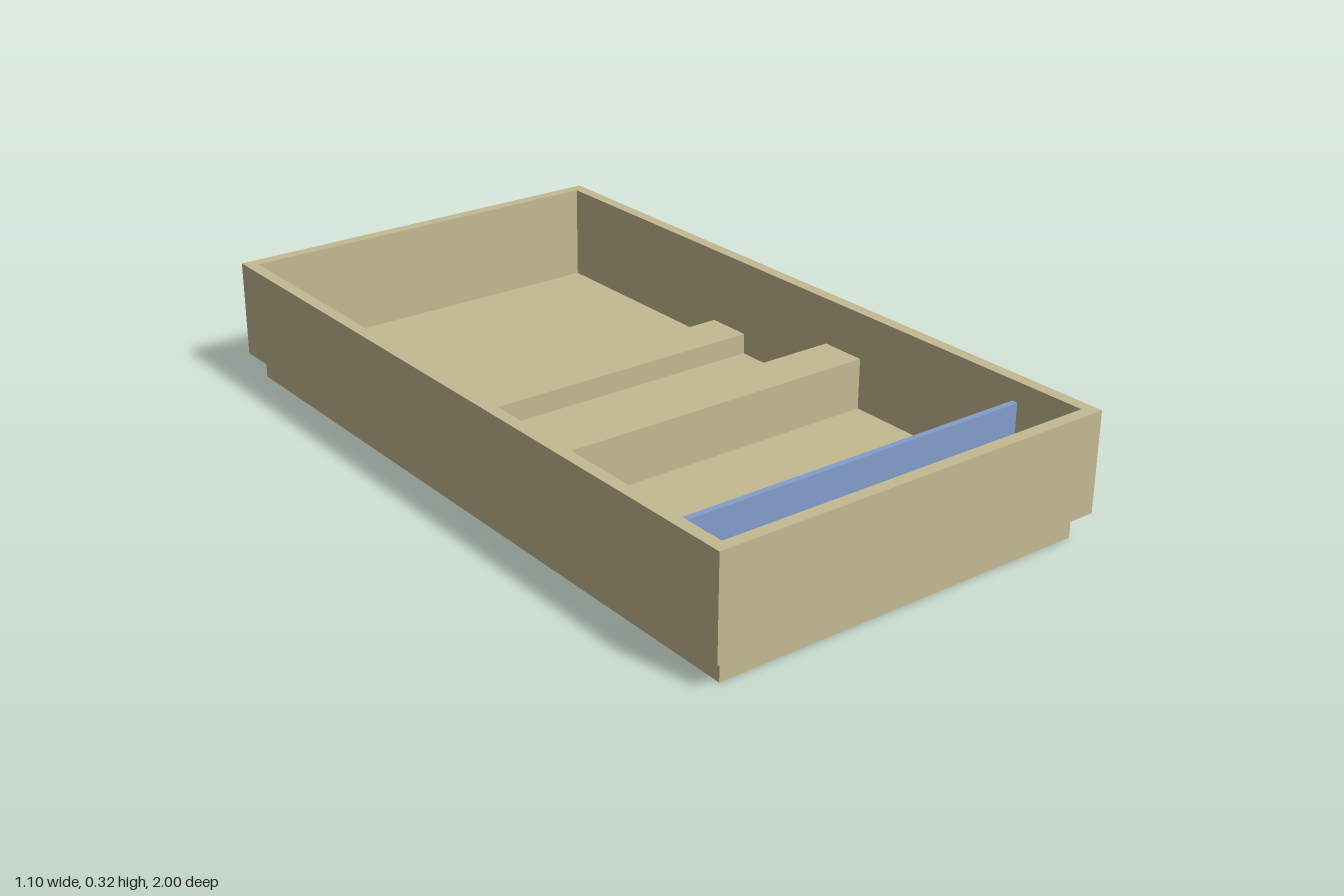
import * as THREE from 'three';

export function createModel() {
  const model = new THREE.Group();
  const tan = new THREE.MeshStandardMaterial({ color: 0xc4ba92 });
  tan.name = 'tan';
  const blue = new THREE.MeshStandardMaterial({ color: 0x839dcc });
  blue.name = 'blue';

  const W = 0.548, L = 1;           // outer half sizes
  const w = 0.516, l = 0.968;       // inner half sizes
  const floorY = 0.066, rimY = 0.323;

  // Box spanning the inner width, between two heights and two depths
  function slab(name, y0, y1, z0, z1, material) {
    const mesh = new THREE.Mesh(new THREE.BoxGeometry(2 * w, y1 - y0, z1 - z0), material);
    mesh.position.set(0, (y0 + y1) / 2, (z0 + z1) / 2);
    mesh.name = name;
    model.add(mesh);
  }

  // Rectangle outline for the rim and its opening
  function rect(path, a, b) {
    path.moveTo(-a, -b).lineTo(a, -b).lineTo(a, b).lineTo(-a, b).closePath();
    return path;
  }

  // Floor plate that also forms the recessed plinth
  slab('floor', 0, floorY, -l, l, tan);

  // Surrounding walls
  const outline = rect(new THREE.Shape(), W, L);
  outline.holes.push(rect(new THREE.Path(), w, l));
  const wallGeometry = new THREE.ExtrudeGeometry(outline, { depth: rimY - floorY, bevelEnabled: false });
  wallGeometry.rotateX(-Math.PI / 2).translate(0, floorY, 0);
  const walls = new THREE.Mesh(wallGeometry, tan);
  walls.name = 'walls';
  model.add(walls);

  // Two cross beams of different height and the upright panel near the front
  slab('lowBeam', floorY, 0.122, -0.325, -0.198, tan);
  slab('highBeam', floorY, 0.202, 0.126, 0.253, tan);
  slab('frontPanel', floorY, 0.271, 0.764, 0.78, blue);

  return model;
}
